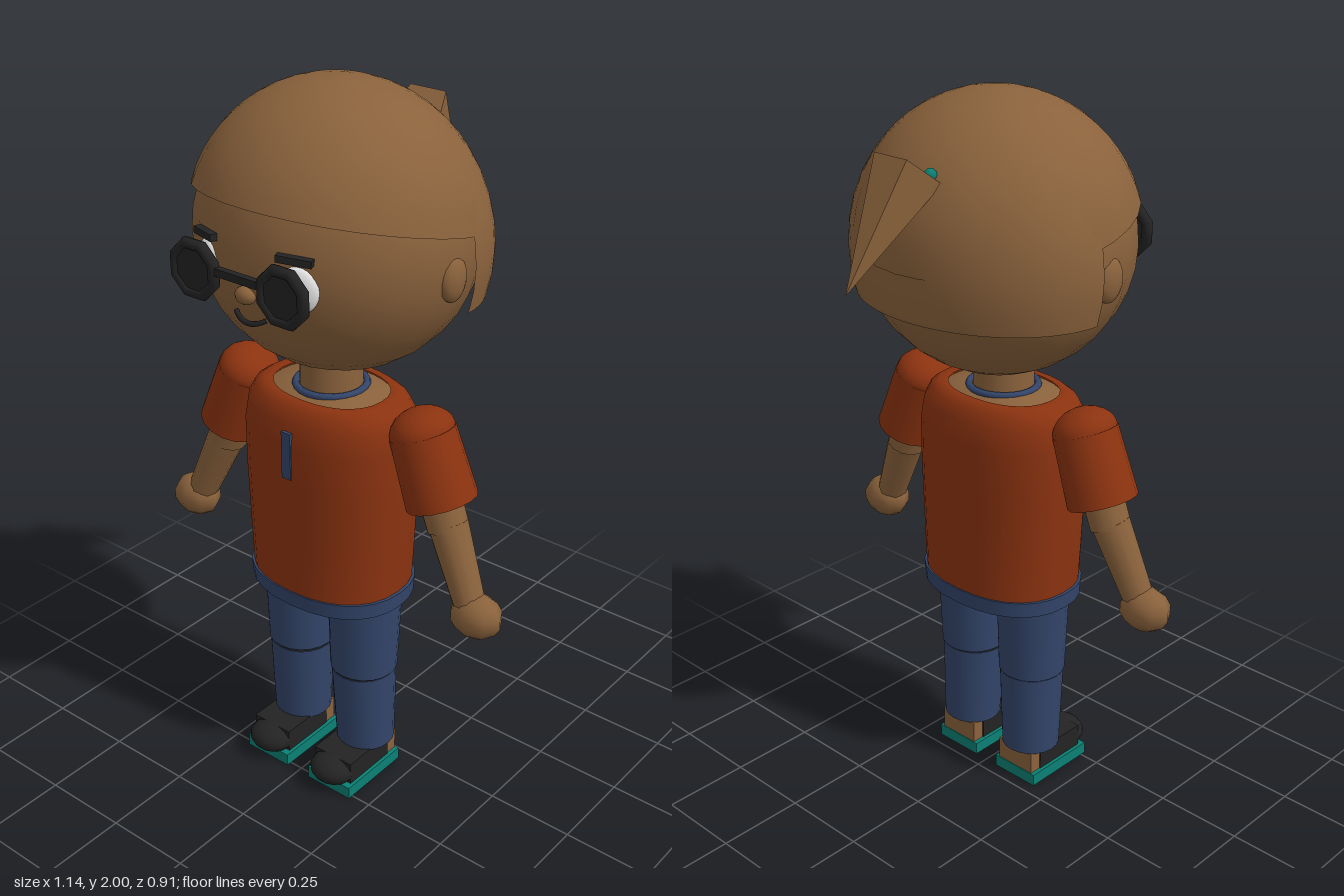
import * as THREE from 'three';

const material = (name, color, side = THREE.FrontSide) => {
  const m = new THREE.MeshStandardMaterial({ color, side });
  m.name = name;
  return m;
};

export function createModel() {
  const model = new THREE.Group();
  model.name = 'figure';
  const skin = material('brown', 0x8a623c, THREE.DoubleSide);
  const shirt = material('rust orange', 0x8c3310, THREE.DoubleSide);
  const denim = material('denim blue', 0x33456a, THREE.DoubleSide);
  const teal = material('teal', 0x0c8074);
  const black = material('black', 0x232323);
  const white = material('white', 0xe6e6e6);

  const add = (name, geometry, mat, x = 0, y = 0, z = 0) => {
    const mesh = new THREE.Mesh(geometry, mat);
    mesh.name = name;
    mesh.position.set(x, y, z);
    model.add(mesh);
    return mesh;
  };
  const ball = (name, mat, [x, y, z], [rx, ry, rz], ws = 16, hs = 12) =>
    add(name, new THREE.SphereGeometry(1, ws, hs).scale(rx, ry, rz), mat, x, y, z);
  const box = (name, mat, [x, y, z], [w, h, d]) =>
    add(name, new THREE.BoxGeometry(w, h, d), mat, x, y, z);

  // Tapered cylinder running from point a (radius ra) to point b (radius rb)
  const limb = (name, mat, a, b, ra, rb, sides = 16) => {
    const A = new THREE.Vector3(...a), B = new THREE.Vector3(...b);
    const dir = B.clone().sub(A);
    const mesh = add(name, new THREE.CylinderGeometry(rb, ra, dir.length(), sides), mat);
    mesh.position.copy(A).add(B).multiplyScalar(0.5);
    mesh.quaternion.setFromUnitVectors(new THREE.Vector3(0, 1, 0), dir.normalize());
    return mesh;
  };

  // Loft of rounded cross-sections [y, rx, rz]; a repeated ring makes a sharp edge
  const loft = (rings, n = 28, power = 0.88) => {
    const pos = [], idx = [];
    rings.forEach(([y, rx, rz], i) => {
      for (let j = 0; j < n; j++) {
        const a = (j / n) * Math.PI * 2, c = Math.cos(a), s = Math.sin(a);
        pos.push(Math.sign(c) * Math.abs(c) ** power * rx, y, Math.sign(s) * Math.abs(s) ** power * rz);
        if (i === rings.length - 1) continue;
        const p = i * n + j, q = i * n + (j + 1) % n;
        idx.push(p, p + n, q, q, p + n, q + n);
      }
    });
    const g = new THREE.BufferGeometry();
    g.setAttribute('position', new THREE.Float32BufferAttribute(pos, 3));
    g.setIndex(idx);
    g.computeVertexNormals();
    return g;
  };

  // Part of an ellipsoid from its top down to the plane y = a + b * z
  const dome = ([rx, ry, rz], a, b, phiStart, phiLength) => {
    const g = new THREE.SphereGeometry(1, 32, 12, phiStart, phiLength, 0, 2);
    const p = g.attributes.position, uv = g.attributes.uv;
    for (let i = 0; i < p.count; i++) {
      const phi = phiStart + uv.getX(i) * phiLength;
      let t = 1.5;
      for (let k = 0; k < 8; k++) t = Math.acos((a + b * Math.sin(t) * Math.sin(phi) * rz) / ry);
      t *= 1 - uv.getY(i);
      p.setXYZ(i, -rx * Math.cos(phi) * Math.sin(t), ry * Math.cos(t), rz * Math.sin(phi) * Math.sin(t));
    }
    g.computeVertexNormals();
    return g;
  };

  // Head and hair
  ball('head', skin, [0, 1.62, 0.068], [0.378, 0.365, 0.352], 24, 18);
  add('hairCap', dome([0.392, 0.38, 0.363], 0.059, 0.23, 0, Math.PI * 2), skin, 0, 1.62, 0.07);
  add('hairBack', dome([0.394, 0.4, 0.318], -0.12, 0, Math.PI, Math.PI), skin, 0, 1.59, 0.03);
  const tail = limb('ponytail', skin, [0, 1.84, -0.24], [0, 1.58, -0.455], 0.095, 0.0005, 5);
  tail.rotateY(Math.PI);
  tail.geometry = tail.geometry.toNonIndexed();
  tail.geometry.computeVertexNormals();

  // Face
  ball('nose', skin, [0, 1.545, 0.415], [0.03, 0.023, 0.022], 12, 8);
  const smile = new THREE.QuadraticBezierCurve3(
    new THREE.Vector3(-0.05, 1.487, 0.396), new THREE.Vector3(0, 1.455, 0.424), new THREE.Vector3(0.05, 1.487, 0.396));
  add('mouth', new THREE.TubeGeometry(smile, 10, 0.007, 6), black);
  box('glassesBridge', black, [0, 1.597, 0.44], [0.14, 0.02, 0.018]);

  for (const s of [1, -1]) {
    const side = s > 0 ? 'left' : 'right';
    ball(side + 'Ear', skin, [s * 0.365, 1.575, 0.083], [0.026, 0.06, 0.045], 14, 10);
    ball(side + 'HairBead', teal, [s * 0.06, 1.84, -0.227], [0.017, 0.017, 0.017], 8, 6);
    ball(side + 'Eye', white, [s * 0.14, 1.585, 0.388], [0.055, 0.06, 0.02]).rotation.y = s * 0.35;
    const brow = box(side + 'Brow', black, [s * 0.14, 1.663, 0.395], [0.09, 0.018, 0.025]);
    brow.rotation.set(0, s * 0.35, -s * 0.06);
    // Octagonal frames with dark lenses
    const rim = new THREE.TorusGeometry(0.067, 0.015, 8, 8).rotateZ(Math.PI / 8);
    add(side + 'GlassesRim', rim, black, s * 0.14, 1.585, 0.44);
    const lens = new THREE.CylinderGeometry(0.06, 0.06, 0.016, 16).rotateX(Math.PI / 2);
    add(side + 'Lens', lens, black, s * 0.14, 1.585, 0.44);

    // Arm
    const sleeveTop = [s * 0.295, 1.145, 0.095], sleeveEnd = [s * 0.362, 0.965, 0.095];
    limb(side + 'Sleeve', shirt, sleeveEnd, sleeveTop, 0.096, 0.088);
    ball(side + 'Shoulder', shirt, sleeveTop, [0.086, 0.066, 0.088]).rotation.z = s * 0.36;
    limb(side + 'UpperArm', skin, [s * 0.386, 0.9, 0.1], sleeveTop, 0.056, 0.06, 12);
    limb(side + 'Forearm', skin, [s * 0.48, 0.7, 0.12], [s * 0.386, 0.91, 0.1], 0.042, 0.054, 12);
    ball(side + 'Hand', skin, [s * 0.498, 0.685, 0.12], [0.076, 0.062, 0.06], 8, 7);

    // Trouser leg in two pieces with a knee crease
    limb(side + 'Thigh', denim, [s * 0.114, 0.354, 0.104], [s * 0.116, 0.62, 0.102], 0.095, 0.104, 20);
    limb(side + 'Knee', black, [s * 0.114, 0.345, 0.104], [s * 0.114, 0.356, 0.104], 0.09, 0.09, 20);
    limb(side + 'Shin', denim, [s * 0.118, 0.1, 0.1], [s * 0.114, 0.348, 0.104], 0.083, 0.092, 20);

    // Shoe
    box(side + 'Sole', teal, [s * 0.115, 0.018, 0.15], [0.15, 0.036, 0.23]);
    box(side + 'Heel', skin, [s * 0.115, 0.068, 0.06], [0.125, 0.07, 0.045]);
    box(side + 'ShoeUpper', black, [s * 0.115, 0.068, 0.16], [0.13, 0.07, 0.17]);
    ball(side + 'Toe', black, [s * 0.115, 0.064, 0.245], [0.068, 0.042, 0.06], 14, 10);
  }

  // Torso
  const cz = 0.1;
  add('shirtBody', loft([
    [0.62, 0.228, 0.182], [0.75, 0.236, 0.182], [0.95, 0.246, 0.183], [1.08, 0.247, 0.183],
    [1.14, 0.238, 0.173], [1.175, 0.22, 0.157], [1.192, 0.195, 0.138], [1.19, 0.165, 0.12],
  ]), shirt, 0, 0, cz);
  add('chest', loft([[1.16, 0.19, 0.14], [1.183, 0.17, 0.125], [1.2, 0.08, 0.075], [1.2, 0, 0]]), skin, 0, 0, cz);
  add('waistband', loft([
    [0.59, 0.215, 0.17], [0.59, 0.235, 0.183], [0.59, 0.235, 0.183], [0.635, 0.238, 0.186],
    [0.635, 0.238, 0.186], [0.635, 0.21, 0.16],
  ]), denim, 0, 0, cz);
  add('hips', loft([[0.605, 0, 0], [0.605, 0.226, 0.178], [0.605, 0.226, 0.178], [0.63, 0.22, 0.175]]), skin, 0, 0, cz);
  box('placket', denim, [0, 1.053, 0.282], [0.03, 0.135, 0.009]);
  limb('neck', skin, [0, 1.18, cz], [0, 1.3, cz], 0.085, 0.082, 20);
  add('collar', new THREE.TorusGeometry(0.094, 0.01, 8, 24).rotateX(Math.PI / 2), denim, 0, 1.197, cz);

  return model;
}
